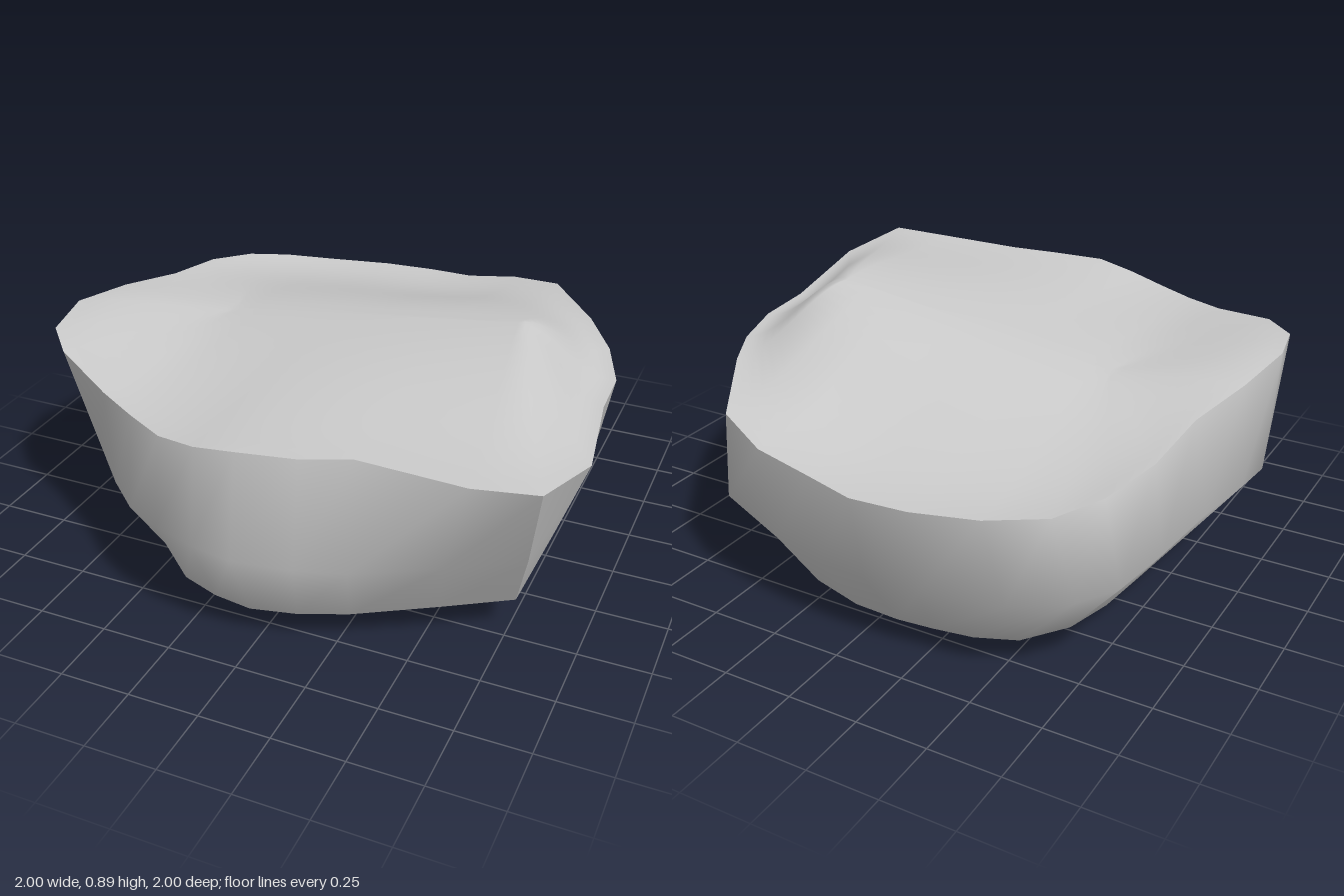
import * as THREE from 'three';
import { mergeVertices } from 'three/addons/utils/BufferGeometryUtils.js';

// Three outlines, each running from the sharp front corner round the back and home again
const TOP = [
  .93, .8, .84, 1, .76, .56, .93, .72, .12, .92, .71, -.1, .84, .71, -.33, .72, .72, -.53,
  .5, .69, -.86, .3, .65, -.95, .1, .615, -.965, -.08, .6, -1, -.28, .6, -.985, -.5, .605, -.93,
  -.69, .625, -.85, -.8, .66, -.72, -.87, .7, -.52, -.89, .74, -.25, -.96, .78, 0, -1, .81, .25,
  -.96, .8, .46, -.84, .79, .59, -.6, .745, .72, -.45, .735, .8, -.3, .735, .88, -.15, .755, .925,
  0, .78, .94, .2, .785, .91, .36, .795, .86, .72, .79, .87, .93, .8, .84];
const MIDDLE = [
  .85, .42, .64, .88, .42, .46, .88, .43, .12, .87, .44, -.1, .83, .46, -.34, .77, .47, -.5,
  .52, .38, -.86, .28, .31, -.91, .1, .29, -.93, -.08, .28, -.94, -.28, .29, -.94, -.58, .33, -.93,
  -.78, .37, -.86, -.87, .38, -.74, -.92, .41, -.54, -.95, .42, -.25, -.98, .41, 0, -.99, .4, .18,
  -.9, .4, .37, -.78, .4, .52, -.59, .4, .72, -.45, .41, .85, -.31, .42, .925, -.15, .42, .975,
  0, .42, 1, .2, .42, .97, .36, .42, .92, .62, .42, .78, .85, .42, .64];
const BOTTOM = [
  .78, .15, .49, .76, .165, .35, .72, .2, .1, .68, .25, -.1, .62, .275, -.3, .52, .26, -.48,
  .38, .17, -.74, .25, .07, -.75, .1, .015, -.74, -.06, 0, -.73, -.2, .01, -.73, -.35, .02, -.72,
  -.5, .035, -.68, -.62, .05, -.55, -.68, .07, -.4, -.72, .1, -.25, -.76, .2, -.05, -.79, .26, .1,
  -.74, .27, .25, -.65, .25, .38, -.53, .19, .55, -.42, .15, .68, -.3, .125, .78, -.16, .125, .83,
  -.02, .125, .85, .14, .13, .82, .3, .135, .76, .56, .145, .62, .78, .15, .49];

function outline(flat) {
  const points = [];
  for (let i = 0; i < flat.length; i += 3) points.push(new THREE.Vector3(flat[i], flat[i + 1], flat[i + 2]));
  return points;
}

// Skin a list of equal-length rows; welding closes the seam, otherwise it stays a crease
function skin(rows, weld) {
  const n = rows[0].length, index = [];
  for (let r = 0; r < rows.length - 1; r++) {
    for (let c = 0; c < n - 1; c++) {
      const a = r * n + c, d = a + n;
      index.push(a, d, a + 1, a + 1, d, d + 1);
    }
  }
  let geometry = new THREE.BufferGeometry().setFromPoints(rows.flat());
  geometry.setIndex(index);
  if (weld) geometry = mergeVertices(geometry, 1e-4);
  geometry.computeVertexNormals();
  return geometry;
}

// Rows from a spine out to a rim; ease sets how the height changes on the way
function capRows(spine, rim, steps, ease) {
  return Array.from({ length: steps + 1 }, (_, k) => rim.map((p) => {
    const t = k / steps, s = spine(p), v = s.clone().lerp(p, t);
    v.y = THREE.MathUtils.lerp(s.y, p.y, ease(t));
    return v;
  }));
}

export function createModel() {
  const group = new THREE.Group();
  group.name = 'boulder';
  const material = new THREE.MeshStandardMaterial({ color: 0xcccccc });
  const add = (name, geometry) => {
    const mesh = new THREE.Mesh(geometry, material);
    mesh.name = name;
    group.add(mesh);
  };
  const top = outline(TOP), middle = outline(MIDDLE), bottom = outline(BOTTOM);

  // Top: a soft ridge along x, climbing to the left and falling away to the rim
  const ridge = (p) => {
    const x = THREE.MathUtils.clamp(p.x * 0.9, -0.5, 0.58);
    return new THREE.Vector3(x, 0.815 + 0.13 * x, -0.04);
  };
  const soft = (t) => THREE.MathUtils.smoothstep(t, 0, 0.95);
  add('topSurface', skin(capRows(ridge, top, 14, soft), true));

  // Bulging side with one sharp front corner
  add('sideWall', skin([top, middle, bottom], false));

  // Folded underside, easing flat towards its centre
  const centre = () => new THREE.Vector3(0, 0.125, 0);
  add('underside', skin(capRows(centre, bottom, 6, (t) => t ** 1.2).reverse(), true));
  return group;
}
